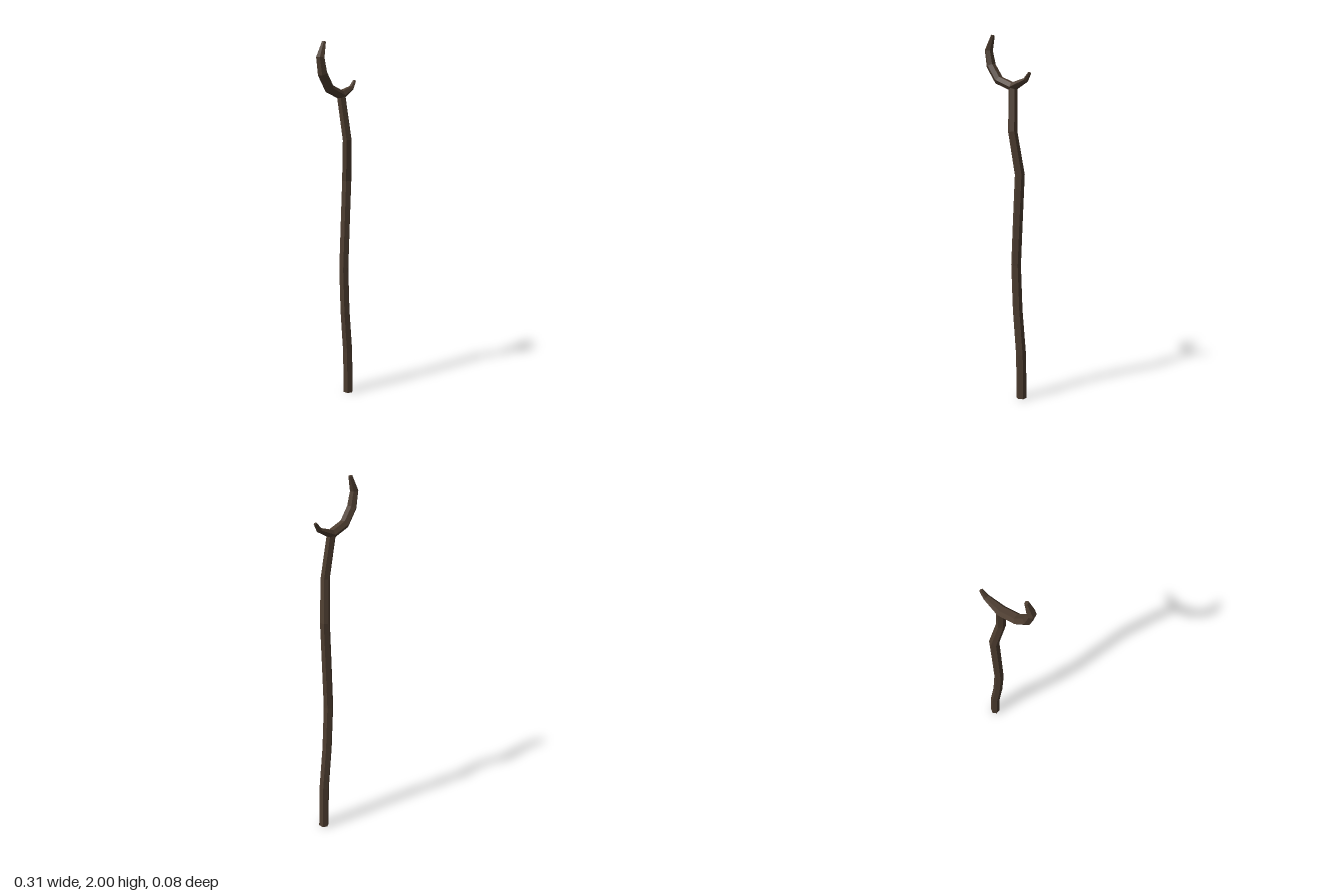
import * as THREE from 'three';

const SIDES = 6;
const Z = -0.013;

// Sweeps a hexagon, ridge towards +-z, along stations [x, y, z, radius];
// squash thins it within the xy plane. Joints are mitred and ends capped.
function branch(name, stations, squash, material) {
  const pts = stations.map(([x, y, z]) => new THREE.Vector3(x, y, z));
  const last = pts.length - 1;
  const dir = (a, b) => new THREE.Vector2(pts[b].x - pts[a].x, pts[b].y - pts[a].y).normalize();
  const rings = pts.map((p, i) => {
    const before = dir(Math.max(i - 1, 0), Math.max(i, 1));
    const after = dir(Math.min(i, last - 1), Math.min(i + 1, last));
    const t = before.clone().add(after).normalize();
    const r = stations[i][3];
    const w = r * squash / t.dot(after);
    return Array.from({ length: SIDES }, (_, k) => {
      const a = (k / SIDES) * Math.PI * 2;
      const s = Math.sin(a) * w;
      return new THREE.Vector3(p.x + t.y * s, p.y - t.x * s, p.z + Math.cos(a) * r);
    });
  });
  const out = [];
  const tri = (...v) => v.forEach((q) => out.push(q.x, q.y, q.z));
  for (let k = 0; k < SIDES; k++) {
    const n = (k + 1) % SIDES;
    for (let i = 0; i < last; i++) {
      const a = rings[i][k], b = rings[i][n], c = rings[i + 1][n], d = rings[i + 1][k];
      tri(a, b, c);
      tri(a, c, d);
    }
    tri(pts[0], rings[0][n], rings[0][k]);
    tri(pts[last], rings[last][k], rings[last][n]);
  }
  const geometry = new THREE.BufferGeometry();
  geometry.setAttribute('position', new THREE.Float32BufferAttribute(out, 3));
  geometry.computeVertexNormals();
  const mesh = new THREE.Mesh(geometry, material);
  mesh.name = name;
  return mesh;
}

export function createModel() {
  const group = new THREE.Group();
  group.name = 'staff';
  const wood = new THREE.MeshStandardMaterial({ color: 0x4d3d30, flatShading: true });

  // Crooked shaft, kinked forward below the head
  group.add(branch('shaft', [
    [0.099, 0, Z, 0.029],
    [0.094, 0.25, Z, 0.029],
    [0.069, 0.5, Z, 0.028],
    [0.057, 0.75, Z, 0.028],
    [0.069, 1.0, Z, 0.028],
    [0.082, 1.25, Z, 0.028],
    [0.053, 1.48, 0.012, 0.026],
    [0.033, 1.71, Z, 0.025],
  ], 0.95, wood));

  // Crescent head: tall curl on one side, short prong on the other
  group.add(branch('crescentHead', [
    [-0.109, 1.994, Z, 0.012],
    [-0.139, 1.915, Z, 0.025],
    [-0.122, 1.832, Z, 0.029],
    [-0.066, 1.754, Z, 0.029],
    [0.032, 1.717, Z, 0.029],
    [0.121, 1.752, Z, 0.016],
    [0.148, 1.789, Z, 0.01],
  ], 0.82, wood));

  return group;
}
